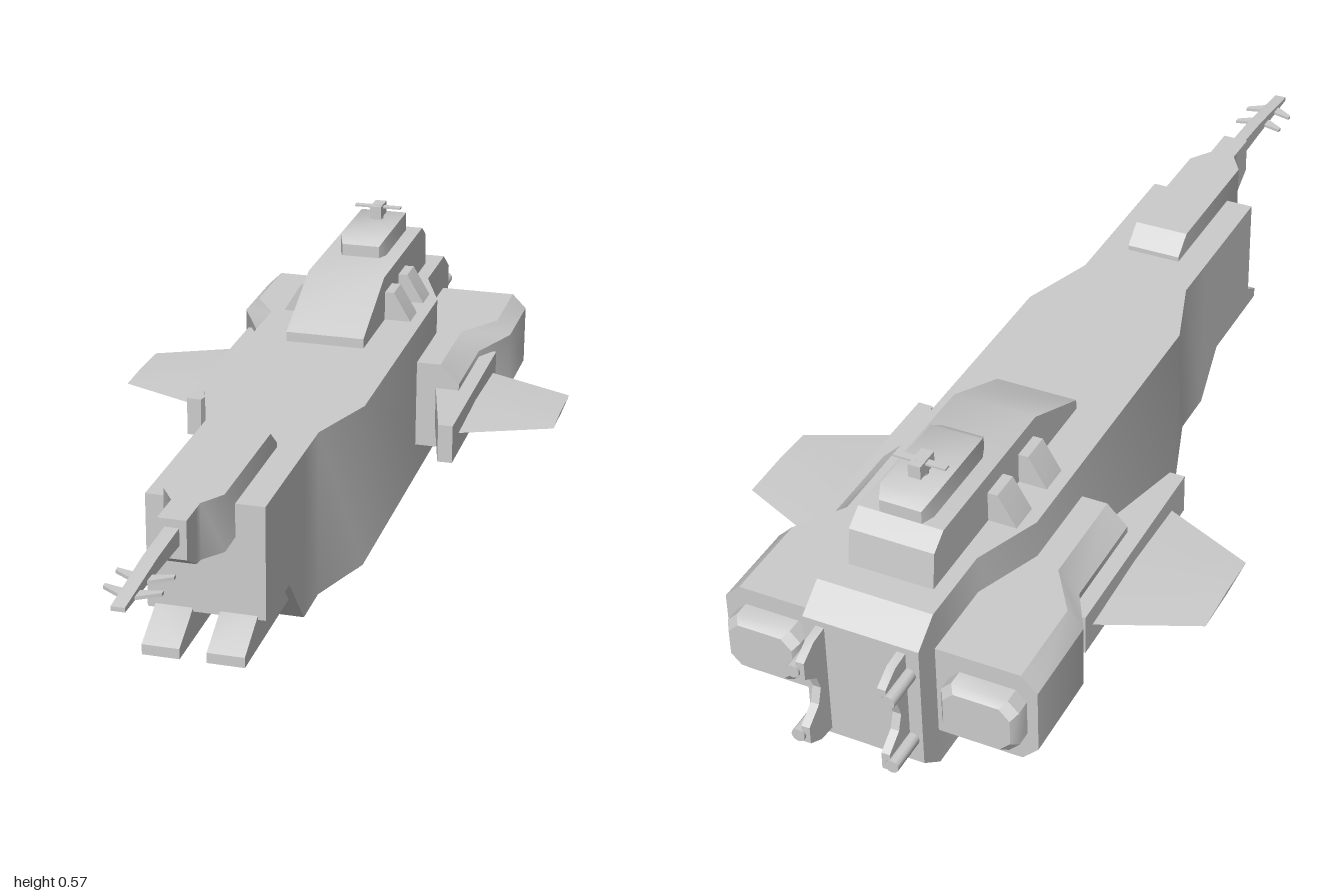
import * as THREE from 'three';
import { toCreasedNormals } from 'three/addons/utils/BufferGeometryUtils.js';

const material = new THREE.MeshStandardMaterial({ color: 0xcccccc });

// Skin over rings of [x, y] points (counter-clockwise from +z), stations ordered back to front
function loft(stations) {
  const n = stations[0].ring.length, pos = [];
  const at = (i, j) => [...stations[i].ring[j % n], stations[i].z];
  const tri = (a, b, c) => pos.push(...a, ...b, ...c);
  const last = stations.length - 1;
  for (let i = 0; i < last; i++) {
    for (let j = 0; j < n; j++) {
      tri(at(i, j), at(i, j + 1), at(i + 1, j + 1));
      tri(at(i, j), at(i + 1, j + 1), at(i + 1, j));
    }
  }
  for (let j = 1; j < n - 1; j++) {
    tri(at(0, 0), at(0, j + 1), at(0, j));
    tri(at(last, 0), at(last, j), at(last, j + 1));
  }
  const g = new THREE.BufferGeometry();
  g.setAttribute('position', new THREE.Float32BufferAttribute(pos, 3));
  return g;
}

const rect = (x0, x1, y0, y1) => [[x0, y0], [x1, y0], [x1, y1], [x0, y1]];

// Octagonal section with chamfered corners
const octagon = (x0, x1, y0, y1, c) => [
  [x0 + c, y0], [x1 - c, y0], [x1, y0 + c], [x1, y1 - c],
  [x1 - c, y1], [x0 + c, y1], [x0, y1 - c], [x0, y0 + c]];

// Box loft from rows of [z, half width, bottom, top], back to front
const boxLoft = rows => loft(rows.map(([z, w, y0, y1]) => ({ z, ring: rect(-w, w, y0, y1) })));

function extrude(points, depth) {
  const shape = new THREE.Shape(points.map(p => new THREE.Vector2(...p)));
  return new THREE.ExtrudeGeometry(shape, { depth, bevelEnabled: false }).translate(0, 0, -depth / 2);
}
// Side outline of [z, y], extruded across x
const sideProfile = (points, width, x = 0) => extrude(points, width).rotateY(-Math.PI / 2).translate(x, 0, 0);
// Plan outline of [x, z], extruded over y
const planProfile = (points, height, y) => extrude(points, height).rotateX(Math.PI / 2).translate(0, y, 0);

const box = (w, h, d, x, y, z) => new THREE.BoxGeometry(w, h, d).translate(x, y, z);

// Mirror across x = 0, keeping faces outward
function mirrored(geometry) {
  const g = geometry.index ? geometry.toNonIndexed() : geometry.clone();
  const p = g.attributes.position;
  const a = new THREE.Vector3(), b = new THREE.Vector3();
  g.scale(-1, 1, 1);
  for (let i = 0; i < p.count; i += 3) {
    a.fromBufferAttribute(p, i);
    b.fromBufferAttribute(p, i + 2);
    p.setXYZ(i, b.x, b.y, b.z);
    p.setXYZ(i + 2, a.x, a.y, a.z);
  }
  return g;
}

export function createModel() {
  const model = new THREE.Group();
  model.name = 'spaceship';

  const add = (name, geometry) => {
    const g = geometry.index ? geometry.toNonIndexed() : geometry;
    g.computeVertexNormals();
    const mesh = new THREE.Mesh(toCreasedNormals(g, 0.6), material);
    mesh.name = name;
    model.add(mesh);
  };
  const addPair = (name, geometry) => {
    const other = mirrored(geometry);
    add(name + 'Left', geometry);
    add(name + 'Right', other);
  };

  // Main hull
  add('hull', boxLoft([
    [-0.925, 0.11, 0.11, 0.36], [-0.87, 0.11, 0.065, 0.40], [-0.71, 0.11, 0.065, 0.40],
    [-0.58, 0.16, 0.065, 0.40], [0.05, 0.16, 0.065, 0.40], [0.2, 0.11, 0.065, 0.40],
    [0.30, 0.11, 0.065, 0.40], [0.40, 0.11, 0.18, 0.40], [0.55, 0.11, 0.18, 0.40]]));

  // Nose gun housing, barrel and barbs
  add('gunHousing', boxLoft([
    [0.29, 0.055, 0.36, 0.41], [0.33, 0.055, 0.34, 0.443], [0.61, 0.055, 0.335, 0.443],
    [0.655, 0.026, 0.337, 0.443], [0.68, 0.026, 0.34, 0.443], [0.73, 0.026, 0.37, 0.443]]));
  add('gunBarrel', boxLoft([
    [0.72, 0.013, 0.395, 0.428], [0.84, 0.013, 0.40, 0.425], [1.0, 0.012, 0.402, 0.41]]));
  for (const z of [0.86, 0.92]) {
    add('gunBarb', planProfile([
      [-0.05, z], [-0.012, z + 0.01], [0.012, z + 0.01], [0.05, z], [0.05, z + 0.01],
      [0.012, z + 0.035], [-0.012, z + 0.035], [-0.05, z + 0.01]], 0.006, 0.405));
  }

  // Chin prongs
  addPair('chinProng', sideProfile([
    [0.34, 0.125], [0.63, 0.125], [0.63, 0.145], [0.545, 0.19], [0.34, 0.19]], 0.07, 0.06));

  // Bridge, upper turret and mast
  add('bridge', sideProfile([
    [-0.25, 0.39], [-0.25, 0.42], [-0.42, 0.495], [-0.77, 0.495], [-0.805, 0.47], [-0.815, 0.39]], 0.162));
  add('upperTurret', loft([
    [-0.77, 0.04, 0.52], [-0.745, 0.05, 0.535], [-0.565, 0.05, 0.535], [-0.54, 0.04, 0.52],
  ].map(([z, w, top]) => ({ z, ring: rect(-w, w, 0.49, top) }))));
  add('mast', new THREE.CylinderGeometry(0.012, 0.012, 0.037, 12).translate(0, 0.549, -0.69));
  add('mastCap', box(0.024, 0.026, 0.05, 0, 0.554, -0.692));
  add('mastCrossbar', box(0.1, 0.004, 0.014, 0, 0.561, -0.692));

  // Sloped blocks beside the bridge
  for (const z of [-0.46, -0.58]) {
    const ring = [[0.07, 0.39], [0.14, 0.39], [0.135, 0.402], [0.1, 0.46], [0.07, 0.46]];
    addPair('bridgeBlock', loft([{ z: z - 0.03, ring }, { z: z + 0.03, ring }]));
  }

  // Belly pods with small side lugs
  add('frontBellyPod', sideProfile([
    [0.17, 0.08], [0.17, 0.052], [0.03, 0.01], [-0.06, 0], [-0.08, 0.02], [-0.08, 0.08]].reverse(), 0.162));
  add('rearBellyPod', sideProfile([
    [-0.47, 0.08], [-0.47, 0.02], [-0.49, 0], [-0.62, 0.005], [-0.78, 0.05], [-0.78, 0.08]].reverse(), 0.162));
  for (const z of [0.028, -0.058, -0.51, -0.59]) {
    const ring = [[0.07, 0.03], [0.085, 0.033], [0.15, 0.055], [0.15, 0.075], [0.07, 0.075]];
    addPair('bellyLug', loft([{ z: z - 0.022, ring }, { z: z + 0.022, ring }]));
  }

  // Side engines: outer corners chamfered, widening aft
  addPair('engine', loft([
    [-0.87, 0.30, 0.03], [-0.69, 0.30, 0.03], [-0.60, 0.25, 0.04], [-0.395, 0.25, 0.04],
  ].map(([z, x, c]) => ({
    z,
    ring: [[0.1, 0.14], [x - c, 0.14], [x, 0.14 + c], [x, 0.325 - c], [x - c, 0.325], [0.1, 0.325]],
  }))));
  addPair('engineNozzle', loft([
    { z: -0.915, ring: octagon(0.145, 0.27, 0.19, 0.28, 0.02) },
    { z: -0.90, ring: octagon(0.135, 0.28, 0.18, 0.29, 0.02) },
    { z: -0.85, ring: octagon(0.135, 0.28, 0.18, 0.29, 0.02) }]));

  // Wing roots and wings
  addPair('wingRoot', planProfile([
    [0.28, -0.2], [0.25, -0.2], [0.2, -0.4], [0.2, -0.64], [0.28, -0.64]], 0.08, 0.232));
  addPair('wing', loft([
    { z: 0.27, ring: [[0.255, 0.234], [0.43, 0.226], [0.615, 0.234], [0.43, 0.242]] },
    { z: 0.46, ring: [[0.34, 0.232], [0.43, 0.229], [0.53, 0.232], [0.43, 0.235]] },
  ]).rotateY(Math.PI / 2));

  // Stern docking brackets with pins
  addPair('sternBracket', sideProfile([
    [-0.91, 0.12], [-0.96, 0.125], [-0.995, 0.145], [-0.995, 0.18], [-0.96, 0.205], [-0.95, 0.235],
    [-0.96, 0.265], [-0.995, 0.29], [-0.995, 0.325], [-0.96, 0.345], [-0.91, 0.35]].reverse(), 0.016, 0.077));
  for (const y of [0.16, 0.305]) {
    addPair('sternPin', new THREE.CylinderGeometry(0.013, 0.013, 0.08, 12)
      .rotateX(Math.PI / 2).translate(0.09, y, -0.96));
  }

  return model;
}
